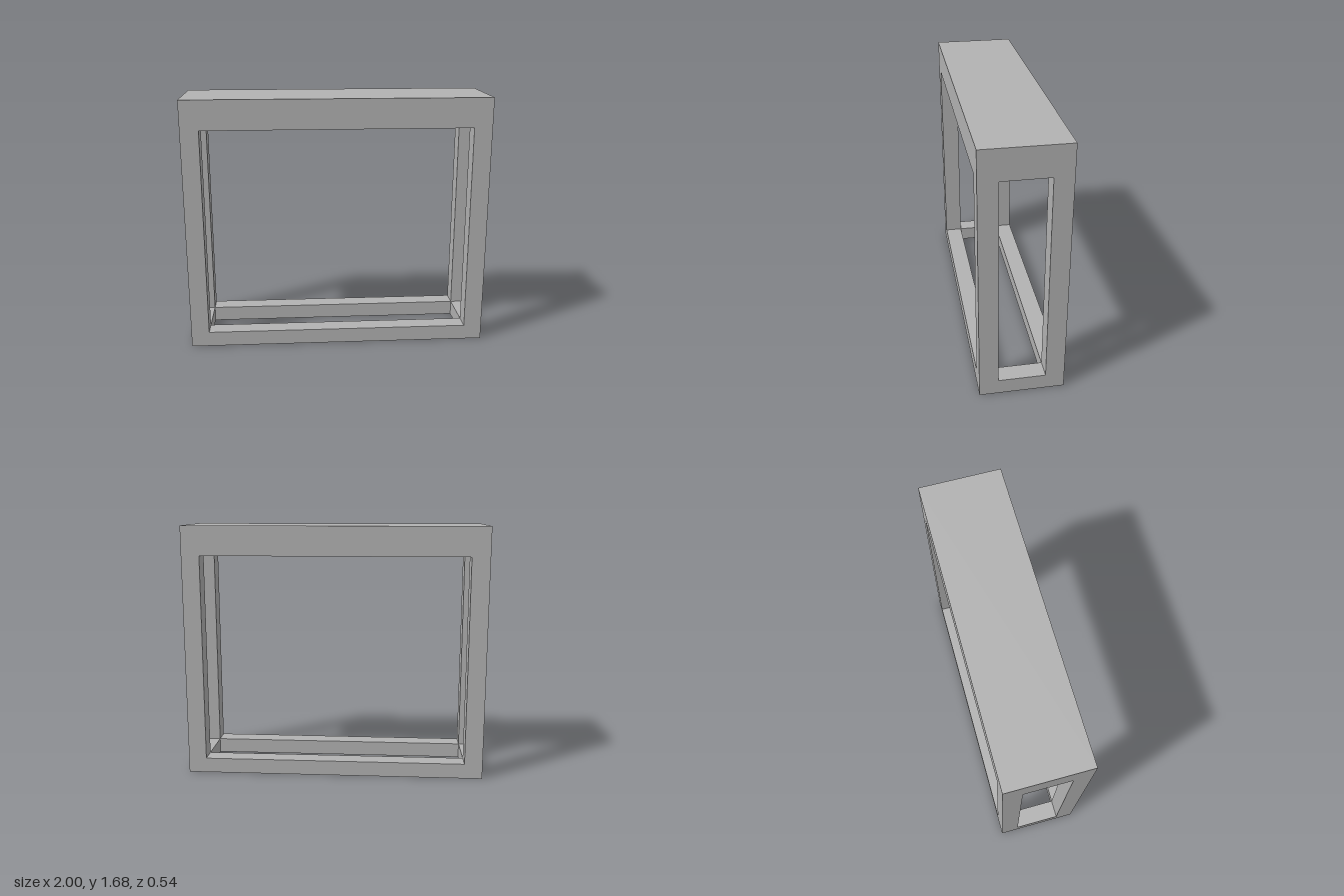
import * as THREE from 'three';

const W = 2, D = 0.54, H = 1.68;    // overall size
const POST = 0.12;                  // post and rail thickness
const BASE = 0.1, TOP = 1.485;      // top of base frame, underside of top slab

export function createModel() {
  const group = new THREE.Group();
  group.name = 'consoleTable';
  const grey = new THREE.MeshStandardMaterial({ color: 0xb2b2b2 });
  grey.name = 'grey';

  const add = (name, geometry, x, y, z) => {
    const mesh = new THREE.Mesh(geometry, grey);
    mesh.name = name;
    mesh.position.set(x, y, z);
    group.add(mesh);
    return mesh;
  };

  // Solid top slab
  add('topSlab', new THREE.BoxGeometry(W, H - TOP, D), 0, (H + TOP) / 2, 0);

  // Base frame: a rectangle with a rectangular opening
  const rect = (PathType, w, d) => new PathType([
    [-w, -d], [w, -d], [w, d], [-w, d],
  ].map(([x, y]) => new THREE.Vector2(x / 2, y / 2)));
  const outline = rect(THREE.Shape, W, D);
  outline.holes.push(rect(THREE.Path, W - 2 * POST, D - 2 * POST));
  const base = new THREE.ExtrudeGeometry(outline, { depth: BASE, bevelEnabled: false });
  base.rotateX(-Math.PI / 2);
  add('baseFrame', base, 0, 0, 0);

  // Four corner posts
  const post = new THREE.BoxGeometry(POST, TOP - BASE, POST);
  for (const sx of [-1, 1]) {
    for (const sz of [-1, 1]) {
      const name = (sz > 0 ? 'front' : 'back') + (sx > 0 ? 'Left' : 'Right') + 'Post';
      add(name, post, sx * (W - POST) / 2, (TOP + BASE) / 2, sz * (D - POST) / 2);
    }
  }
  return group;
}
